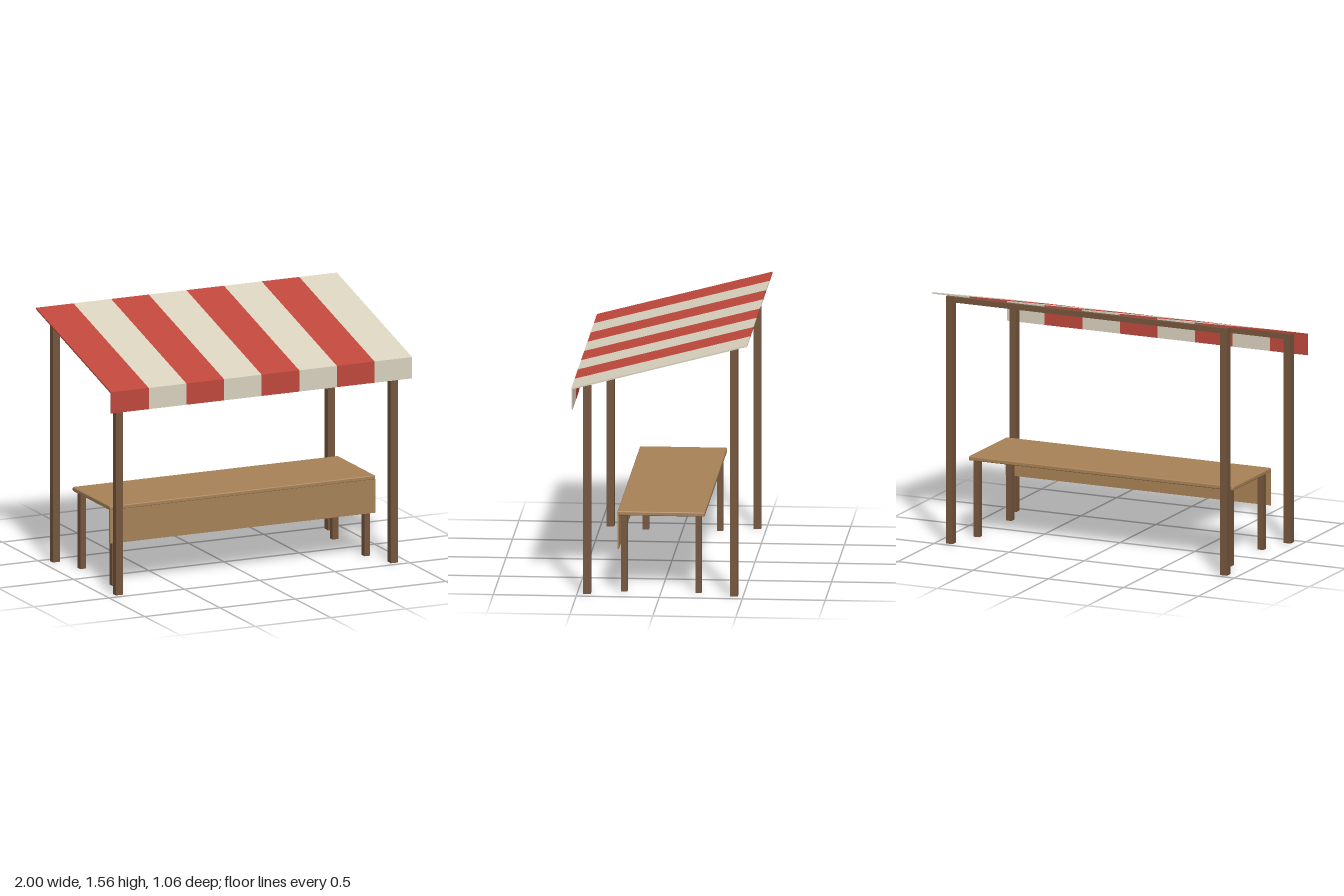
import * as THREE from 'three';
import { RoundedBoxGeometry } from 'three/addons/geometries/RoundedBoxGeometry.js';

function material(name, color) {
  const m = new THREE.MeshStandardMaterial({ color });
  m.name = name;
  return m;
}

export function createModel() {
  const red = material('red cloth', 0xc0483c);
  const cream = material('cream cloth', 0xdad2bf);
  const darkWood = material('dark wood', 0x75563d);
  const lightWood = material('light wood', 0xa88257);

  const stall = new THREE.Group();
  stall.name = 'marketStall';

  function add(parent, name, geometry, mat, x, y, z) {
    const mesh = new THREE.Mesh(geometry, mat);
    mesh.name = name;
    mesh.position.set(x, y, z);
    parent.add(mesh);
  }
  function group(name) {
    const g = new THREE.Group();
    g.name = name;
    stall.add(g);
    return g;
  }

  // Posts, tall at the back, with a cross beam joining each pair
  const frame = group('frame');
  for (const [row, z, height] of [['front', 0.44, 1.295], ['back', -0.445, 1.53]]) {
    for (const x of [-0.913, 0.913]) {
      add(frame, row + 'Post', new THREE.BoxGeometry(0.046, height, 0.046), darkWood, x, height / 2, z);
    }
    add(frame, row + 'Beam', new THREE.BoxGeometry(1.78, 0.034, 0.034), darkWood, 0, height - 0.018, z);
  }

  // Table: rounded top, front panel and four legs
  const table = group('table');
  add(table, 'tableTop', new RoundedBoxGeometry(1.764, 0.026, 0.526, 2, 0.006), lightWood, 0, 0.487, -0.002);
  add(table, 'frontPanel', new THREE.BoxGeometry(1.764, 0.208, 0.009), lightWood, 0, 0.372, 0.256);
  for (const x of [-0.838, 0.838]) {
    for (const z of [0.222, -0.226]) {
      add(table, 'tableLeg', new THREE.BoxGeometry(0.038, 0.476, 0.038), darkWood, x, 0.238, z);
    }
  }

  // Canopy: each stripe is a sloping sheet with a hanging valance, as one side profile
  const canopy = group('canopy');
  const profile = new THREE.Shape([
    [0.529, 1.15], [0.529, 1.282], [-0.529, 1.562], [-0.529, 1.553], [0.521, 1.274], [0.521, 1.15],
  ].map(([z, y]) => new THREE.Vector2(z, y)));
  const stripe = new THREE.ExtrudeGeometry(profile, { depth: 0.25, bevelEnabled: false });
  stripe.rotateY(-Math.PI / 2);
  for (let i = 0; i < 8; i++) {
    add(canopy, i % 2 ? 'creamStripe' : 'redStripe', stripe, i % 2 ? cream : red, -0.75 + i * 0.25, 0, 0);
  }

  return stall;
}
